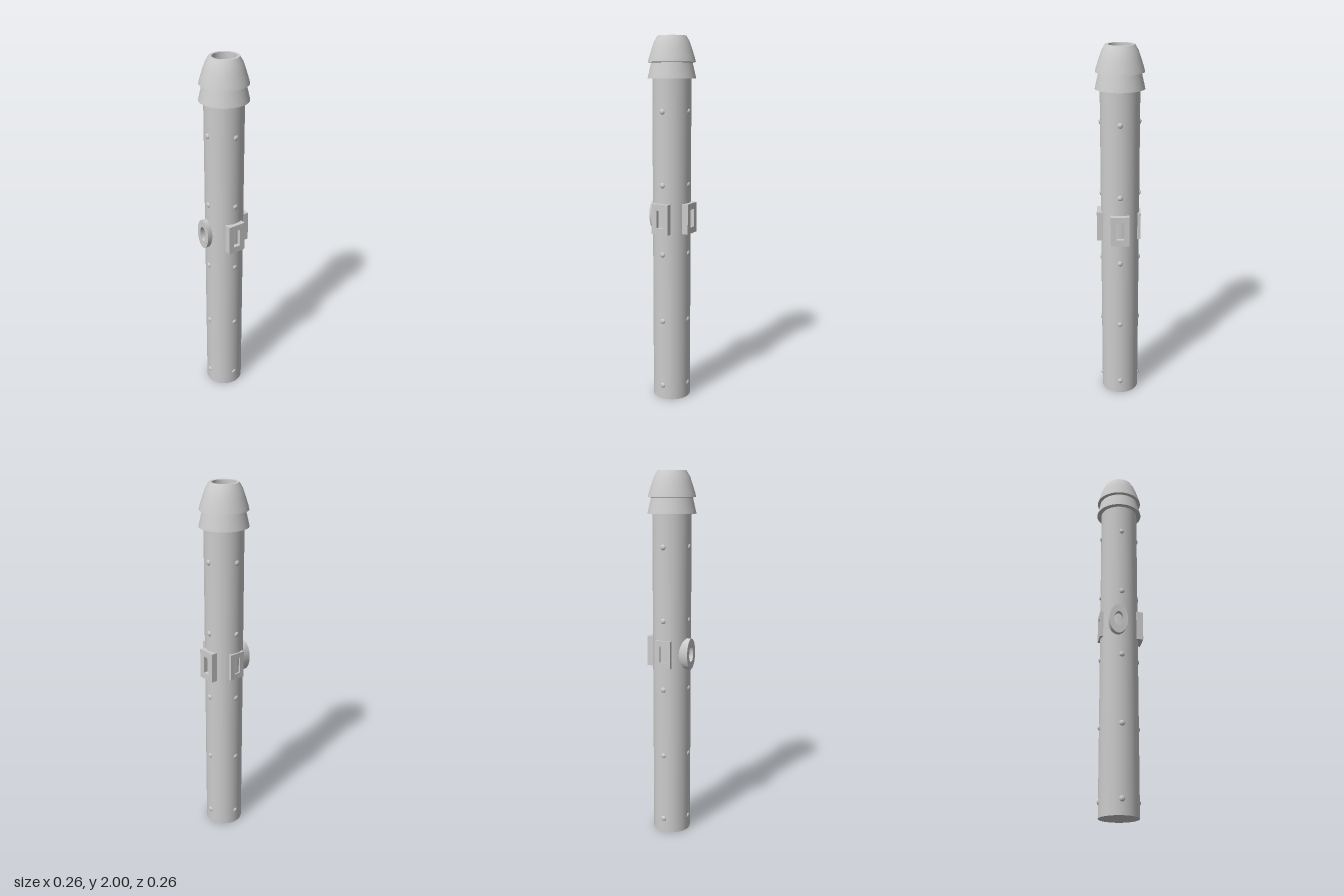
import * as THREE from 'three';

const R = 0.104;
const mat = new THREE.MeshStandardMaterial({ color: 0xcccccc });

// Lathe whose profile segments keep sharp edges between runs
function turned(name, runs, group) {
  const part = new THREE.Group();
  part.name = name;
  for (const run of runs) {
    const pts = run.map(([r, y]) => new THREE.Vector2(r, y));
    part.add(new THREE.Mesh(new THREE.LatheGeometry(pts, 64), mat));
  }
  group.add(part);
}

// Plate outline with a window, extruded outward along +z
function plateGeometry(w, h, reach, round) {
  const shape = new THREE.Shape();
  const hole = new THREE.Path();
  if (round) {
    shape.absellipse(0, 0, w / 2, h / 2, 0, Math.PI * 2);
    hole.absellipse(0, 0, w / 4, h / 4, 0, Math.PI * 2, true);
  } else {
    const box = (p, a, b) => p.moveTo(-a, -b).lineTo(a, -b).lineTo(a, b).lineTo(-a, b).closePath();
    box(shape, w / 2, h / 2);
    box(hole, w / 5, h / 3.4);
  }
  shape.holes.push(hole);
  const geo = new THREE.ExtrudeGeometry(shape, { depth: reach - 0.075, bevelEnabled: false, curveSegments: 20 });
  return geo.translate(0, 0, 0.075);
}

export function createModel() {
  const model = new THREE.Group();
  model.name = 'bollardColumn';

  // Straight shaft, closed at the foot
  turned('shaft', [
    [[0, 0], [R, 0]],
    [[R, 0], [R, 1.79]],
  ], model);

  // Flared collar below the cap
  turned('collar', [
    [[R - 0.01, 1.78], [0.129, 1.78]],
    [[0.129, 1.78], [0.127, 1.79], [0.11, 1.862]],
  ], model);

  // Tapered cap with a round socket in its top
  turned('cap', [
    [[0.1, 1.862], [0.127, 1.865]],
    [[0.127, 1.865], [0.122, 1.885], [0.108, 1.93], [0.094, 1.97], [0.076, 2]],
    [[0.076, 2], [0.061, 2]],
    [[0.061, 2], [0.061, 1.87]],
    [[0.061, 1.87], [0, 1.87]],
  ], model);

  // Four columns of small domed studs
  const studGeo = new THREE.SphereGeometry(0.015, 16, 10).scale(1, 1, 0.6);
  for (let side = 0; side < 4; side++) {
    const column = new THREE.Group();
    column.name = 'studColumn';
    column.rotation.y = side * Math.PI / 2;
    for (const y of [0.08, 0.46, 0.84, 1.22, 1.61]) {
      const stud = new THREE.Mesh(studGeo, mat);
      stud.name = 'stud';
      stud.position.set(0, y, R - 0.002);
      column.add(stud);
    }
    model.add(column);
  }

  // Raised mid-height plates: front, left, back, right
  const plates = [
    ['frontPlate', 0.1, 0.17, 0.127, true, -0.02],
    ['leftPlate', 0.1, 0.165, 0.126, false, -0.005],
    ['backPlate', 0.1, 0.165, 0.126, false, 0],
    ['rightPlate', 0.09, 0.15, 0.112, false, 0],
  ];
  plates.forEach(([name, w, h, reach, round, offset], i) => {
    const plate = new THREE.Mesh(plateGeometry(w, h, reach, round).translate(offset, 0, 0), mat);
    plate.name = name;
    plate.position.y = 1.038;
    plate.rotation.y = i * Math.PI / 2;
    model.add(plate);
  });

  return model;
}
